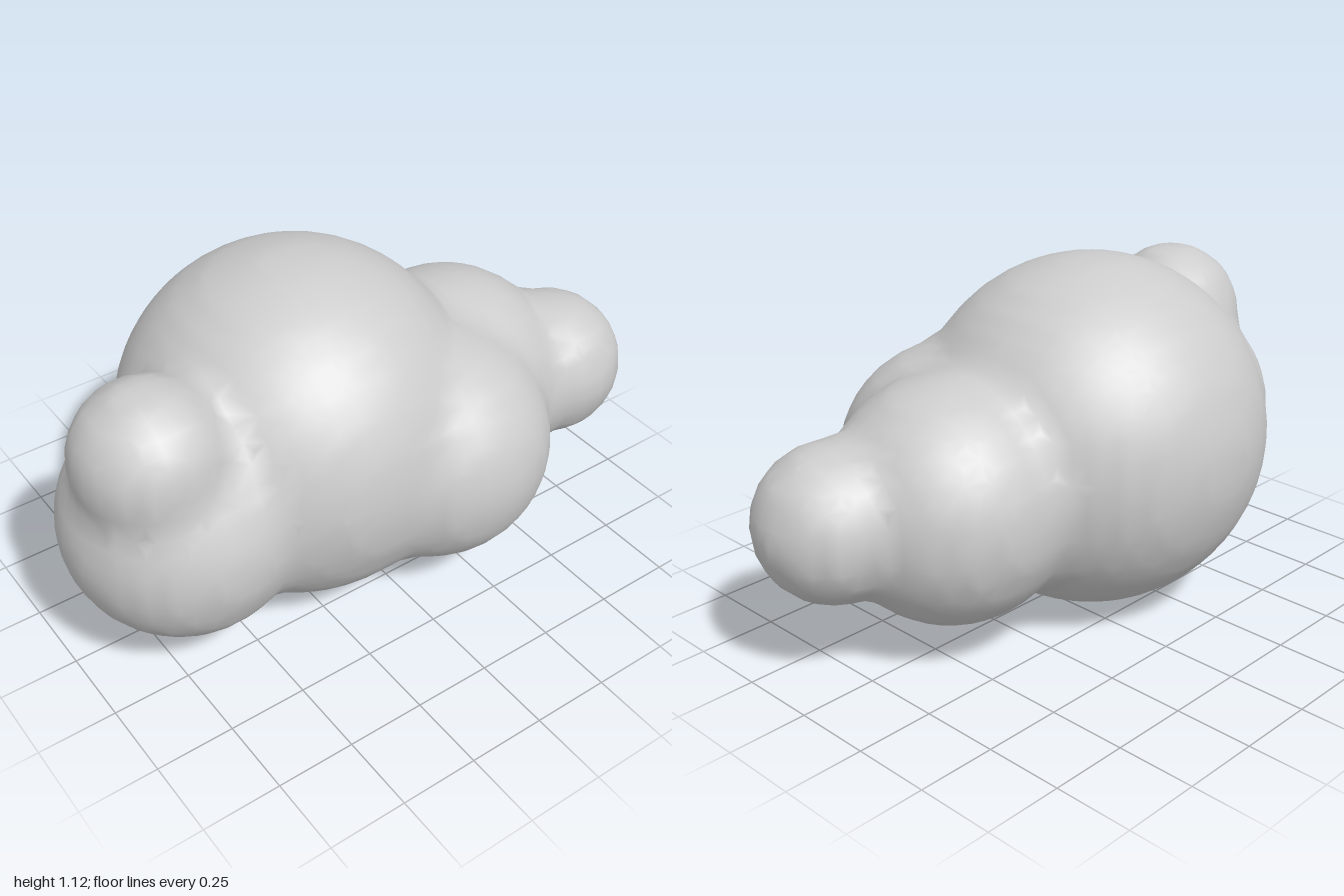
import * as THREE from 'three';

// Puffs of the cloud: centre x, y, z and radius
const PUFFS = [
  [-0.15, 0.56, -0.04, 0.56],  // main body
  [0.41, 0.48, 0.01, 0.38],    // right shoulder
  [0.755, 0.48, 0.13, 0.24],   // right tip
  [0.18, 0.48, 0.225, 0.375],  // front bulge
  [-0.63, 0.48, 0.07, 0.37],   // left bulge
  [-0.74, 0.78, 0.12, 0.23],   // upper left puff
];
const BLEND = 0.018;
const CELL = 0.06;

// Signed distance to the softly blended puffs
function field(p) {
  let sum = 0;
  for (const [x, y, z, r] of PUFFS) {
    const d = Math.hypot(p.x - x, p.y - y, p.z - z) - r;
    sum += Math.exp(-d / BLEND);
  }
  return -BLEND * Math.log(Math.max(sum, 1e-200));
}

function gradient(p, e = 0.004) {
  const g = new THREE.Vector3();
  for (const a of ['x', 'y', 'z']) {
    const hi = p.clone(), lo = p.clone();
    hi[a] += e;
    lo[a] -= e;
    g[a] = (field(hi) - field(lo)) / (2 * e);
  }
  return g;
}

// One closed skin over all the puffs, made of quads between grid cells
function blendedSkin() {
  const size = [37, 22, 24];
  const origin = new THREE.Vector3(-1.11, -0.09, -0.71);
  const step = [1, size[0], size[0] * size[1]];
  const id = (c) => c[0] * step[0] + c[1] * step[1] + c[2] * step[2];
  const point = (c) => new THREE.Vector3(...c).multiplyScalar(CELL).add(origin);
  const eachCell = (visit) => {
    for (let k = 0; k < size[2]; k++)
      for (let j = 0; j < size[1]; j++)
        for (let i = 0; i < size[0]; i++) visit([i, j, k]);
  };
  const values = [];
  eachCell((c) => values.push(field(point(c))));

  // A vertex in every cell that the surface crosses
  const positions = [], vertexOf = new Map();
  eachCell((c) => {
    if (c.some((n, a) => n >= size[a] - 1)) return;
    const sum = new THREE.Vector3();
    let count = 0;
    for (let corner = 0; corner < 8; corner++) {
      const from = c.map((n, a) => n + ((corner >> a) & 1));
      for (let a = 0; a < 3; a++) {
        if ((corner >> a) & 1) continue;
        const to = from.slice();
        to[a]++;
        const f0 = values[id(from)], f1 = values[id(to)];
        if ((f0 < 0) === (f1 < 0)) continue;
        sum.add(point(from).lerp(point(to), f0 / (f0 - f1)));
        count++;
      }
    }
    if (!count) return;
    const p = sum.divideScalar(count);
    for (let n = 0; n < 3; n++) {
      const g = gradient(p);
      p.addScaledVector(g, -field(p) / Math.max(g.lengthSq(), 0.3));
    }
    vertexOf.set(id(c), positions.length / 3);
    positions.push(p.x, p.y, p.z);
  });

  // A quad around every grid edge that the surface crosses
  const index = [];
  eachCell((c) => {
    if (c.some((n, a) => n < 1 || n >= size[a] - 1)) return;
    const here = id(c);
    for (let a = 0; a < 3; a++) {
      const inside = values[here] < 0;
      if (inside === (values[here + step[a]] < 0)) continue;
      const u = step[(a + 1) % 3], v = step[(a + 2) % 3];
      const q = [here - u - v, here - v, here, here - u].map((n) => vertexOf.get(n));
      if (!inside) q.reverse();
      index.push(q[0], q[1], q[2], q[0], q[2], q[3]);
    }
  });

  const geometry = new THREE.BufferGeometry();
  geometry.setAttribute('position', new THREE.Float32BufferAttribute(positions, 3));
  geometry.setIndex(index);
  geometry.computeVertexNormals();
  return geometry;
}

export function createModel() {
  const group = new THREE.Group();
  group.name = 'cloud';
  const cloudGrey = new THREE.MeshStandardMaterial({ color: 0xcccccc });
  cloudGrey.name = 'cloudGrey';
  const puffs = new THREE.Mesh(blendedSkin(), cloudGrey);
  puffs.name = 'cloudPuffs';
  group.add(puffs);
  return group;
}
